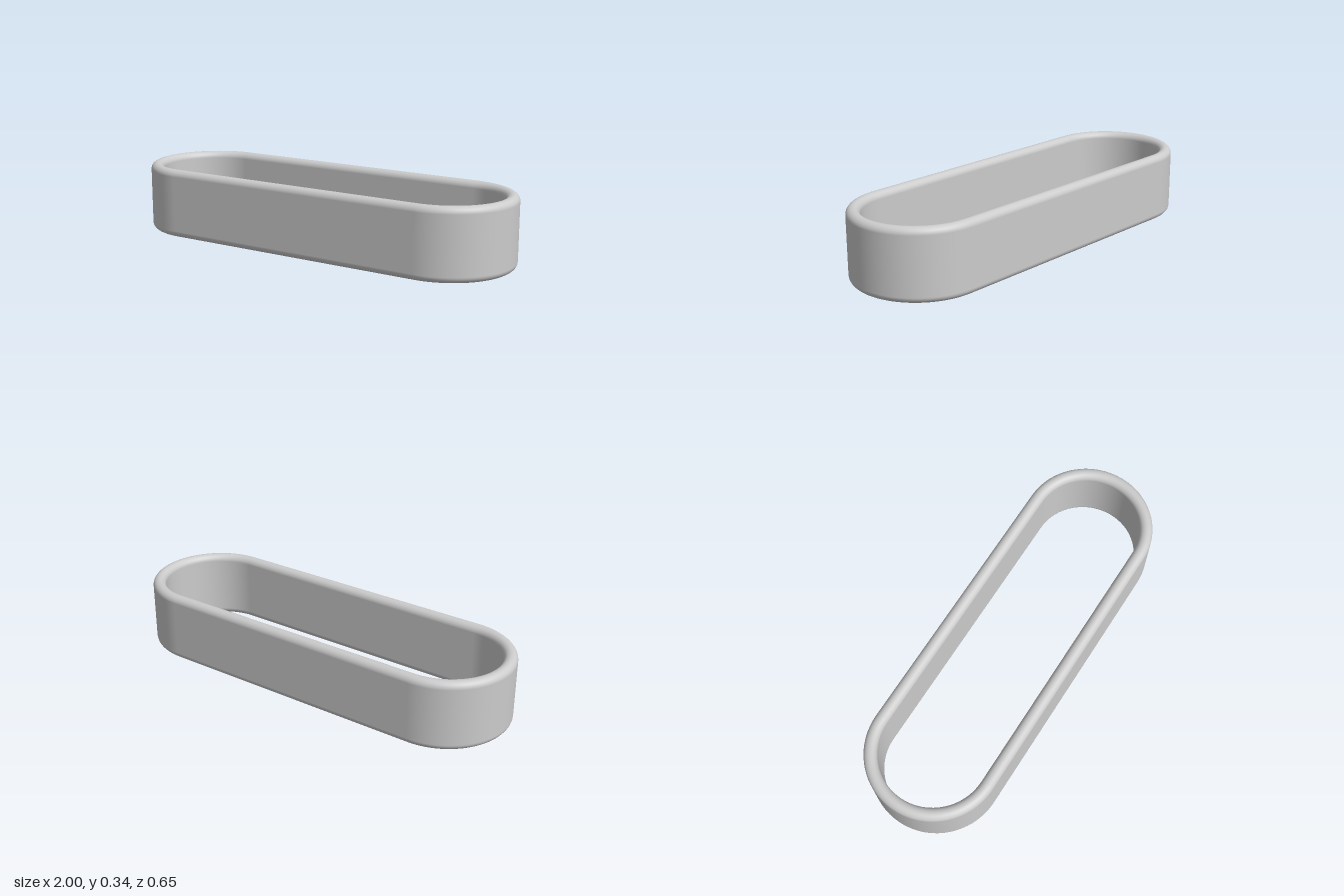
import * as THREE from 'three';

const HEIGHT = 0.342, HALF_LENGTH = 1, HALF_DEPTH = 0.323;
const EDGE = 0.032; // half the wall thickness, also the radius of the rounded rims
const END_STEPS = 48, RIM_STEPS = 16;

// Wall cross-section: a capsule, as offsets from the wall's centre line with normals
function wallSection() {
  const points = [];
  for (const side of [1, -1]) {
    const centreY = HEIGHT / 2 + side * (HEIGHT / 2 - EDGE);
    for (let i = 0; i <= RIM_STEPS; i++) {
      const b = Math.PI * (i / RIM_STEPS + (side > 0 ? 0 : 1));
      points.push({ out: EDGE * Math.cos(b), y: centreY + EDGE * Math.sin(b), nOut: Math.cos(b), nY: Math.sin(b) });
    }
  }
  return points;
}

// Centre line seen from above: two half circles joined by straight runs
function ringPath() {
  const stations = [];
  for (const side of [1, -1]) {
    for (let i = 0; i <= END_STEPS; i++) {
      const a = Math.PI * (i / END_STEPS + (side > 0 ? -0.5 : 0.5));
      stations.push({ x: side * (HALF_LENGTH - HALF_DEPTH), cos: Math.cos(a), sin: Math.sin(a) });
    }
  }
  return stations;
}

// Sweep the section around the path, closing both ways
function bandGeometry() {
  const section = wallSection(), path = ringPath();
  const n = section.length, m = path.length;
  const positions = [], normals = [], indices = [];
  path.forEach((p, i) => section.forEach((s, j) => {
    const r = HALF_DEPTH - EDGE + s.out;
    positions.push(p.x + r * p.cos, s.y, r * p.sin);
    normals.push(s.nOut * p.cos, s.nY, s.nOut * p.sin);
    const a = i * n + j, b = i * n + (j + 1) % n;
    const c = ((i + 1) % m) * n + j, d = ((i + 1) % m) * n + (j + 1) % n;
    indices.push(a, b, c, b, d, c);
  }));
  const geometry = new THREE.BufferGeometry();
  geometry.setAttribute('position', new THREE.Float32BufferAttribute(positions, 3));
  geometry.setAttribute('normal', new THREE.Float32BufferAttribute(normals, 3));
  geometry.setIndex(indices);
  return geometry;
}

export function createModel() {
  const group = new THREE.Group();
  group.name = 'oblongRing';
  const band = new THREE.Mesh(bandGeometry(), new THREE.MeshStandardMaterial({ color: 0xcccccc }));
  band.name = 'band';
  group.add(band);
  return group;
}
